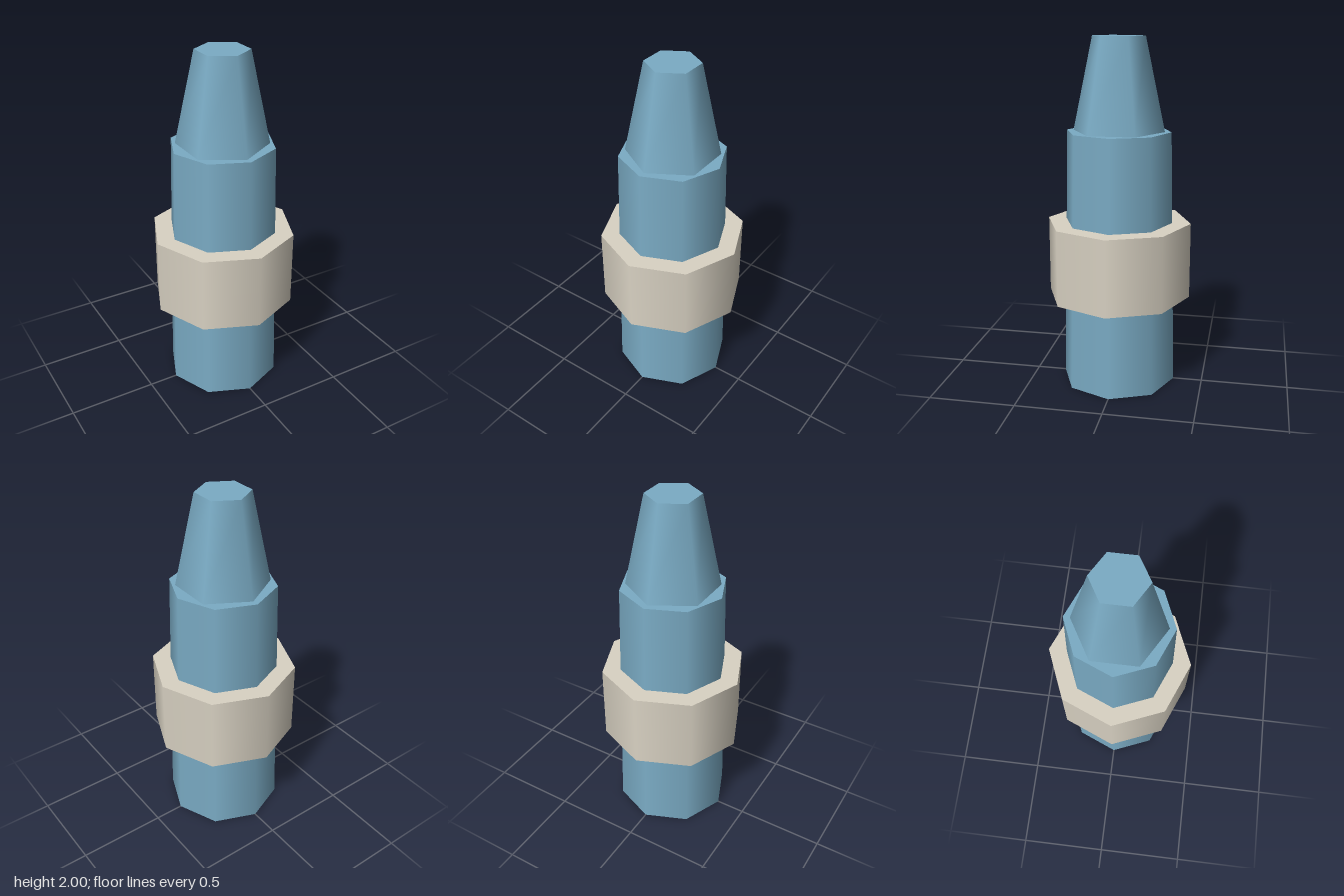
import * as THREE from 'three';

export function createModel() {
  const group = new THREE.Group();
  const blue = new THREE.MeshStandardMaterial({ color: 0x7aabc4 });
  blue.name = 'softBlue';
  const cream = new THREE.MeshStandardMaterial({ color: 0xd9d2c3 });
  cream.name = 'warmCream';

  // Smooth-shaded tapered prism standing between two heights
  const prism = (name, material, rBottom, rTop, y0, y1, sides) => {
    const geometry = new THREE.CylinderGeometry(rTop, rBottom, y1 - y0, sides);
    const mesh = new THREE.Mesh(geometry, material);
    mesh.name = name;
    mesh.position.y = (y0 + y1) / 2;
    group.add(mesh);
  };

  prism('barrel', blue, 0.332, 0.297, 0, 1.48, 8);
  prism('gripBand', cream, 0.415, 0.415, 0.523, 0.962, 8);
  prism('tip', blue, 0.26, 0.149, 1.48, 2, 6);

  return group;
}
